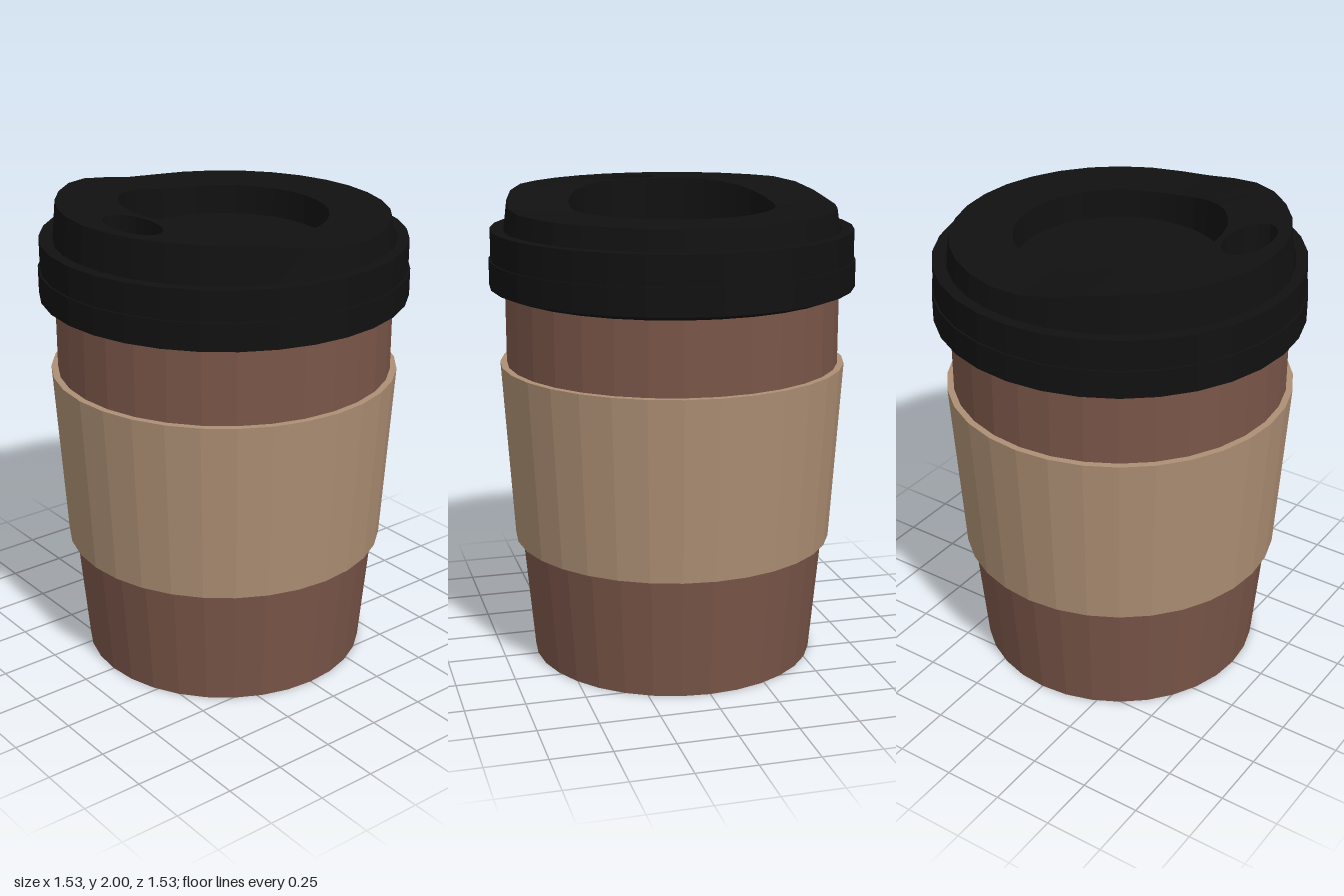
import * as THREE from 'three';

const SIDES = 32;

const material = (color) =>
  new THREE.MeshStandardMaterial({ color, flatShading: true, side: THREE.DoubleSide });

function addMesh(parent, name, geometry, mat) {
  const mesh = new THREE.Mesh(geometry, mat);
  mesh.name = name;
  parent.add(mesh);
  return mesh;
}

// Turned part from [radius, height] pairs, bottom to top
const turned = (profile) =>
  new THREE.LatheGeometry(profile.map(([r, y]) => new THREE.Vector2(r, y)), SIDES);

// Lid top height: raised on the drinking side (-x), sloping to the low side
const lidHeight = (x) => 2 - 0.065 * THREE.MathUtils.smoothstep(x, -0.4, 0.1);

// Open wall whose upper edge follows the lid top
function wall(topRadius, bottomRadius, bottomY) {
  const geo = new THREE.CylinderGeometry(topRadius, bottomRadius, 1, SIDES, 1, true);
  const p = geo.attributes.position;
  for (let i = 0; i < p.count; i++) {
    p.setY(i, p.getY(i) > 0 ? lidHeight(p.getX(i)) : bottomY);
  }
  return geo;
}

// Part of a ring between two radii, spanning whole sides of the polygon
function ringPiece(inner, outer, from, to) {
  const points = [];
  const corner = (r, i) => {
    const a = (i / SIDES) * Math.PI * 2;
    points.push(new THREE.Vector2(r * Math.cos(a), r * Math.sin(a)));
  };
  for (let i = from; i <= to; i++) corner(outer, i);
  for (let i = to; i >= from; i--) corner(inner, i);
  return new THREE.Shape(points);
}

export function createModel() {
  const model = new THREE.Group();
  const brown = material(0x795548);
  const tan = material(0xac8e74);
  const black = material(0x111111);

  // Cup body and its dark base
  addMesh(model, 'cupBody', turned([[0.605, 0], [0.652, 0.52], [0.7, 1.25], [0.7, 1.7]]), brown);
  const base = addMesh(model, 'cupBase', new THREE.CircleGeometry(0.605, SIDES), black);
  base.rotation.x = Math.PI / 2;

  // Sleeve: thin tapered band around the cup
  addMesh(model, 'sleeve', turned([
    [0.65, 0.52], [0.68, 0.52], [0.728, 1.285], [0.7, 1.285],
  ]), tan);

  const lid = new THREE.Group();
  lid.name = 'lid';
  model.add(lid);

  // Stepped lid rim
  addMesh(lid, 'lidRim', turned([
    [0.69, 1.59], [0.705, 1.59], [0.765, 1.612], [0.765, 1.725],
    [0.757, 1.725], [0.757, 1.85], [0.71, 1.85], [0.7, 1.84],
  ]), black);
  addMesh(lid, 'lidWall', wall(0.685, 0.7, 1.84), black);

  // Lid top: ring of pieces, one wide piece holding the sip opening
  const inner = 0.43, outer = 0.685;
  const sip = { x: -0.53, z: 0.11, rx: 0.085, rz: 0.165 };
  const half = SIDES / 2;
  const sipPiece = ringPiece(inner, outer, half - 1, half + 3);
  sipPiece.holes.push(new THREE.Path().absellipse(sip.x, -sip.z, sip.rx, sip.rz, 0, Math.PI * 2));
  const pieces = [sipPiece];
  for (let i = half + 3; i < half - 1 + SIDES; i++) pieces.push(ringPiece(inner, outer, i, i + 1));
  const top = new THREE.ShapeGeometry(pieces, 12).rotateX(-Math.PI / 2);
  const p = top.attributes.position;
  for (let i = 0; i < p.count; i++) p.setY(i, lidHeight(p.getX(i)));
  addMesh(lid, 'lidTop', top, black);

  // Round recess in the lid
  const floorY = 1.81;
  addMesh(lid, 'recessWall', wall(inner, inner, floorY), black);
  const floor = addMesh(lid, 'recessFloor', new THREE.CircleGeometry(inner, SIDES), black);
  floor.rotation.x = -Math.PI / 2;
  floor.position.y = floorY;

  // Sip opening well
  const depth = 0.13;
  const well = addMesh(lid, 'sipWell', new THREE.CylinderGeometry(1, 1, depth, 24, 1, true), black);
  well.scale.set(sip.rx, 1, sip.rz);
  well.position.set(sip.x, 2 - depth / 2, sip.z);
  const wellFloor = addMesh(lid, 'sipWellFloor',
    new THREE.CircleGeometry(1, 24).rotateX(-Math.PI / 2), black);
  wellFloor.scale.set(sip.rx, 1, sip.rz);
  wellFloor.position.set(sip.x, 2 - depth, sip.z);

  return model;
}
